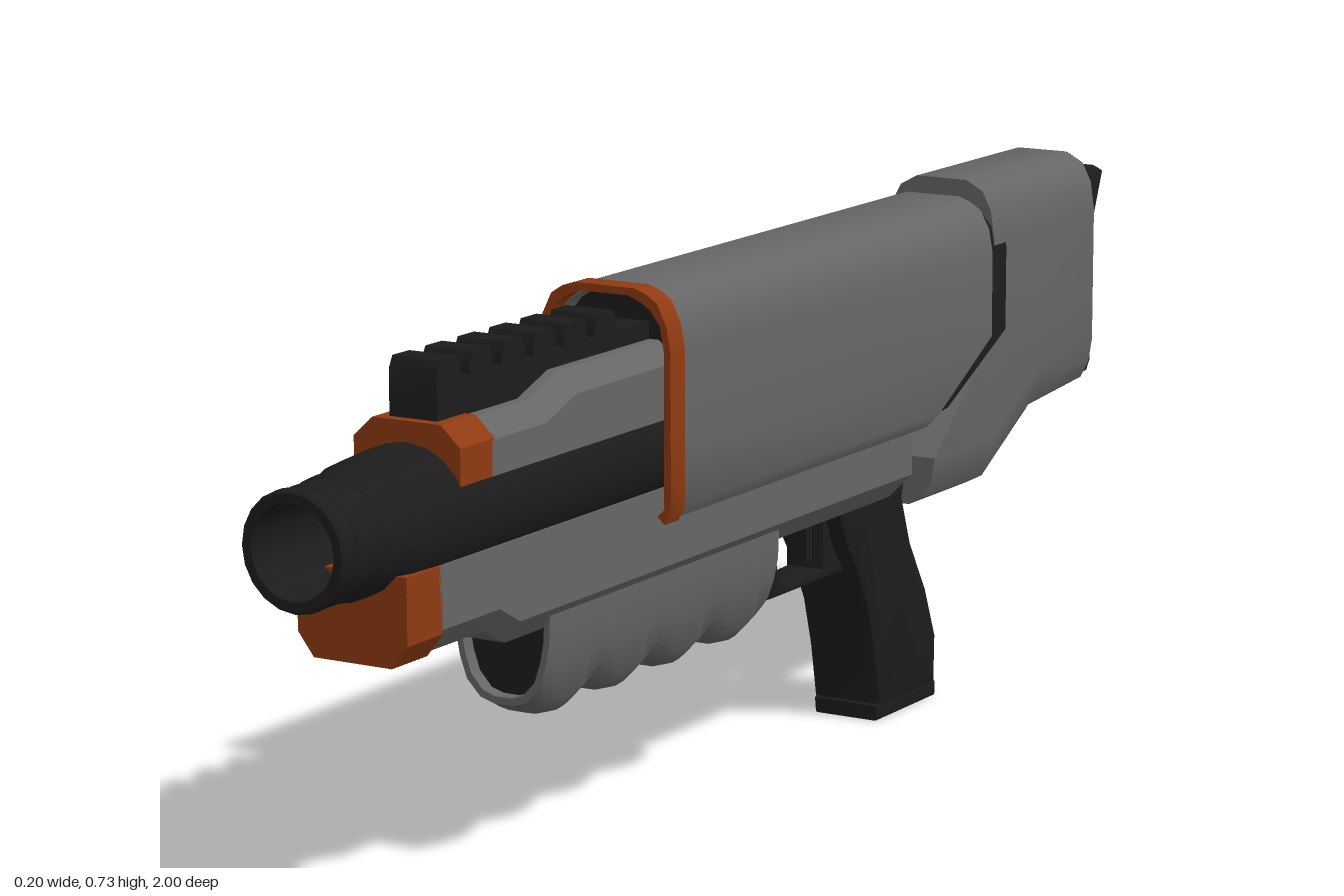
import * as THREE from 'three';
import { toCreasedNormals } from 'three/addons/utils/BufferGeometryUtils.js';

const grey = new THREE.MeshStandardMaterial({ color: 0x666666 });
const black = new THREE.MeshStandardMaterial({ color: 0x1c1c1c });
const orange = new THREE.MeshStandardMaterial({ color: 0x8f3a12 });

// Mirrored cross-section from a right-hand half profile (bottom to top); z is a number or a rule of y
function ring(half, z) {
  const at = ([x, y], s) => [s * x, y, typeof z === 'function' ? z(y) : z];
  return [...half.map(p => at(p, 1)), ...half.map(p => at(p, -1)).reverse()];
}

// Hollow arch section: outer outline, then the inner outline backwards
const archRing = (outer, inner, z) => [...ring(outer, z), ...ring(inner, z).reverse()];

// Skin joining rings from front to back, capped by pairing points i and n-1-i
function loft(rings, crease = 0.6) {
  const n = rings[0].length, index = [];
  rings.slice(1).forEach((_, k) => {
    for (let i = 0; i < n; i++) {
      const a = k * n + i, b = k * n + (i + 1) % n;
      index.push(a, a + n, b, b, a + n, b + n);
    }
  });
  const end = (rings.length - 1) * n;
  for (let i = 0; i < n / 2 - 1; i++) {
    const a = i, b = i + 1, c = n - 2 - i, d = n - 1 - i;
    index.push(a, b, c, a, c, d);
    index.push(end + a, end + c, end + b, end + a, end + d, end + c);
  }
  const g = new THREE.BufferGeometry();
  g.setAttribute('position', new THREE.Float32BufferAttribute(rings.flat(2), 3));
  g.setIndex(index);
  return toCreasedNormals(g, crease);
}

// Side outline in (z, y), extruded across x with a bevelled edge
function sideExtrude(points, halfWidth, bevel = 0, hole) {
  const toV = p => new THREE.Vector2(p[0], p[1]);
  const shape = new THREE.Shape(points.map(toV));
  if (hole) shape.holes.push(new THREE.Path(hole.map(toV)));
  const depth = 2 * (halfWidth - bevel);
  const g = new THREE.ExtrudeGeometry(shape, {
    depth, bevelEnabled: bevel > 0, bevelSize: bevel, bevelOffset: -bevel,
    bevelThickness: bevel, bevelSegments: 2,
  });
  g.translate(0, 0, -depth / 2);
  g.rotateY(-Math.PI / 2);
  return toCreasedNormals(g, 0.5);
}

export function createModel() {
  const group = new THREE.Group();
  const add = (name, geometry, material) => {
    const mesh = new THREE.Mesh(geometry, material);
    mesh.name = name;
    group.add(mesh);
  };

  // Hollow barrel and core tube
  const barrel = new THREE.LatheGeometry([
    [0, 0.25], [0.09, 0.25], [0.09, 0.8], [0.086, 0.86], [0.079, 0.88], [0.079, 0.915], [0.075, 0.92],
    [0.075, 0.965], [0.071, 0.97], [0.071, 0.978], [0.076, 0.982], [0.076, 0.995], [0.072, 1],
    [0.06, 1], [0.06, 0.74], [0, 0.74],
  ].map(p => new THREE.Vector2(...p)), 20);
  barrel.rotateX(Math.PI / 2);
  barrel.translate(0, 0.5, 0);
  add('barrel', toCreasedNormals(barrel, 0.5), black);

  // Upper receiver strip with orange tip
  const upper = (rise, base = 0.53) => [[0.078, base], [0.078, 0.588 + rise], [0.05, 0.614 + rise]];
  add('upperStrip', loft([
    ring(upper(0), 0.69), ring(upper(0), 0.57), ring(upper(0.025), 0.5), ring(upper(0.025), 0.24),
  ], 0.2), grey);
  add('upperTip', loft([ring(upper(0.002, 0.5), 0.76), ring(upper(0.002, 0.5), 0.685)], 0.2), orange);

  // Toothed top rail
  const rail = [[0.25, 0.6], [0.745, 0.6]];
  for (let i = 0; i < 6; i++) {
    const z = 0.745 - i * 0.071;
    rail.push([z, 0.675], [z - 0.008, 0.69], [z - 0.044, 0.69], [z - 0.052, 0.677],
      [z - 0.052, 0.662], [z - 0.071, 0.662]);
  }
  rail.push([0.25, 0.662]);
  add('topRail', sideExtrude(rail, 0.035), black);

  // Lower body with orange tip
  const lower = (b, top = 0.455) => [[0.057, b], [0.08, b + 0.03], [0.08, top]];
  add('lowerTip', loft([ring(lower(0.34), 0.88), ring(lower(0.34), 0.805)], 0.2), orange);
  add('lowerBody', loft([
    ring(lower(0.345), 0.81), ring(lower(0.345), 0.68), ring(lower(0.32), 0.635),
    ring(lower(0.32), y => (y < 0.34 ? -0.335 : -0.36)),
  ], 0.2), grey);

  // Main shell: hollow arch with a sloping rear edge, and its orange front band
  const arch = o => [
    [0.087 + o, 0.413 - o], [0.097 + o, 0.43], [0.097 + o, 0.515], [0.097 + o, 0.635],
    [0.091 + o, 0.668], [0.077 + o, 0.694 + o], [0.06 + o, 0.705 + o], [0.042 + o, 0.711 + o],
  ];
  const slope = (low, high) => y =>
    THREE.MathUtils.lerp(low, high, THREE.MathUtils.clamp((y - 0.42) / 0.095, 0, 1));
  const shellRear = slope(-0.39, -0.56);
  add('shell', loft([
    archRing(arch(0), arch(-0.009), 0.285), archRing(arch(0), arch(-0.009), shellRear),
  ]), grey);
  add('shellBand', loft([
    archRing(arch(0.003), arch(-0.007), 0.313), archRing(arch(0.003), arch(-0.007), 0.278),
  ]), orange);
  add('innerCore', loft([ring(arch(-0.01), 0.26), ring(arch(-0.01), slope(-0.43, -0.62))]), black);

  // Stock: slanted front edge, belly rising to the rear
  const stock = (b, s = 0) => [
    [0.045 - s, b + s], [0.068 - s, b + 0.012 + s], [0.08 - s, b + 0.035], [0.086 - s, b + 0.07],
    [0.086 - s, 0.515], [0.086 - s, 0.65], [0.08 - s, 0.69 - s], [0.066 - s, 0.717 - s], [0.04 - s, 0.731 - s],
  ];
  const stockFront = y => (y <= 0.365 ? -0.415 : Math.max(-0.585, -0.415 - (y - 0.365) * 1.14));
  add('stock', loft([
    ring(stock(0.293), stockFront), ring(stock(0.293), y => Math.min(-0.588, stockFront(y) - 0.003)),
    ring(stock(0.372), -0.73), ring(stock(0.385), -0.895), ring(stock(0.385, 0.008), -0.908),
  ]), grey);

  // Butt pad with a concave rear face
  add('buttPad', sideExtrude([
    [-0.88, 0.4], [-0.9, 0.388], [-0.955, 0.392], [-0.968, 0.41], [-0.958, 0.48], [-0.96, 0.55],
    [-0.975, 0.63], [-1, 0.692], [-0.985, 0.699], [-0.9, 0.705], [-0.88, 0.7],
  ], 0.052, 0.014), black);

  // Scalloped fore grip with recessed ends
  const grip = z => {
    const b = 0.217 - 0.024 * Math.abs(Math.sin(Math.PI * (0.555 - z) / 0.141));
    return [[0.014, b - 0.002], [0.034, b + 0.004], [0.054, b + 0.025], [0.064, 0.27], [0.07, 0.3], [0.072, 0.35]];
  };
  const inset = h => h.map(([x, y]) => [x * 0.88, 0.35 + (y - 0.35) * 0.93]);
  const gripRings = [ring(inset(grip(0.555)), 0.53), ring(inset(grip(0.555)), 0.555)];
  for (let i = 0; i <= 32; i++) {
    const z = 0.555 - i * 0.564 / 32;
    gripRings.push(ring(grip(z), z));
  }
  gripRings.push(ring(inset(grip(-0.009)), -0.009), ring(inset(grip(-0.009)), 0.01));
  add('foreGrip', loft(gripRings), grey);
  [0.535, 0.01].forEach(z => add('foreGripEnd', loft([
    ring(inset(grip(0.555)), z), ring(inset(grip(0.555)), z - 0.006),
  ]), black));

  // Trigger guard with opening, and trigger
  add('triggerGuard', sideExtrude(
    [[0.02, 0.34], [0.02, 0.235], [-0.06, 0.226], [-0.28, 0.226], [-0.3, 0.34]], 0.03, 0.005,
    [[-0.075, 0.318], [-0.2, 0.318], [-0.2, 0.24], [-0.13, 0.238], [-0.095, 0.243], [-0.078, 0.265]],
  ), black);
  add('trigger', sideExtrude(
    [[-0.17, 0.33], [-0.185, 0.29], [-0.185, 0.25], [-0.2, 0.25], [-0.21, 0.33]], 0.012), black);

  // Pistol grip and base plate
  add('pistolGrip', sideExtrude([
    [-0.2, 0.325], [-0.225, 0.27], [-0.25, 0.235], [-0.285, 0.17], [-0.305, 0.1], [-0.32, 0.02],
    [-0.483, 0.02], [-0.485, 0.09], [-0.455, 0.165], [-0.41, 0.24], [-0.385, 0.31], [-0.4, 0.36],
    [-0.415, 0.43], [-0.34, 0.4], [-0.3, 0.33],
  ], 0.055, 0.012), black);
  add('gripBase', sideExtrude(
    [[-0.318, 0], [-0.315, 0.022], [-0.33, 0.03], [-0.48, 0.03], [-0.488, 0.02], [-0.488, 0]], 0.05, 0.003), black);

  return group;
}
